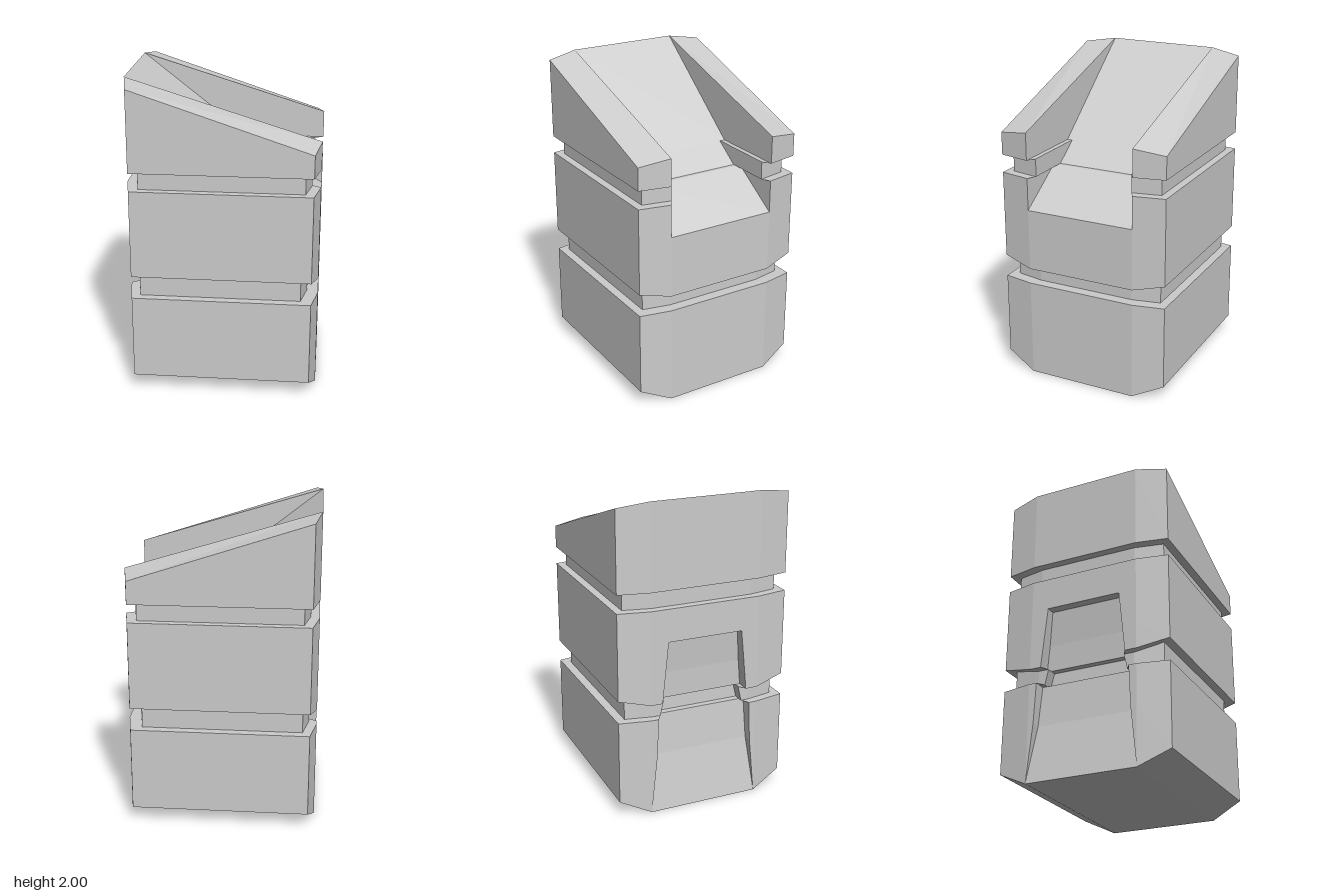
import * as THREE from 'three';

const material = new THREE.MeshStandardMaterial({ color: 0xcccccc, flatShading: true });

// One horizontal outline of the block.
//  y: height of the middle, yEnd: height at the front and back faces
//  s, o: scale and x shift (grooves), xc: where the top channel starts
//  w, d: half width and depth of the recess on the -x face
function ring({ y, yEnd = y, s = 1, o = 0, xc = 0.6, w = 0.245, d = 0 }) {
  const half = [[0.6, 0.36, y], [0.56, 0.56, yEnd], [-0.56, 0.56, yEnd], [-0.6, 0.36, y], [-0.6, w, y], [-0.6 + d, w, y]];
  const back = half.map(([x, z, h]) => [x, -z, h]).reverse();
  const loop = [...half, ...back, [xc, -0.36, y], [xc, 0.36, y]];
  return loop.map(([x, z, h]) => new THREE.Vector3(x * s + o, h, z * s));
}

function loft(rings, caps) {
  const pos = [];
  const tri = (a, b, c) => {
    const n = b.clone().sub(a).cross(c.clone().sub(a));
    if (n.length() > 1e-7) for (const p of [a, b, c]) pos.push(p.x, p.y, p.z);
  };
  const quad = (a, b, c, d) => { tri(a, b, c); tri(a, c, d); };
  for (let i = 0; i < rings.length - 1; i++) {
    const lo = rings[i], hi = rings[i + 1];
    lo.forEach((p, j) => {
      const k = (j + 1) % lo.length;
      quad(p, hi[j], hi[k], lo[k]);
    });
  }
  for (const [r, ...ids] of caps) quad(...ids.map((j) => r[j]));
  const g = new THREE.BufferGeometry();
  g.setAttribute('position', new THREE.Float32BufferAttribute(pos, 3));
  g.computeVertexNormals();
  return g;
}

export function createModel() {
  const lowCore = { s: 0.9, o: -0.01 };
  const highCore = { s: 0.91 };

  // lower block, its bottom edges bevelled at front and back
  const base = ring({ y: 0, yEnd: 0.095, w: 0.36 });
  const lowerKink = ring({ y: 0.37, w: 0.322, d: 0.06 });
  const lowerTop = { y: 0.635, w: 0.31, d: 0.08 };
  // middle block
  const middleBottom = { y: 0.735, yEnd: 0.78, w: 0.285, d: 0.085 };
  const middleKink = ring({ y: 0.905, w: 0.268, d: 0.08 });
  const middleTop = { y: 1.34, xc: 0.27 };
  // upper block with the channel between two sloping wings
  const upperBottom = { y: 1.455, xc: 0.09 };
  const top = ring({ y: 2, xc: -0.6 });
  for (const j of [0, 11]) top[j].y = 1.63;
  for (const j of [1, 10]) top[j].y = 1.6;
  for (const j of [2, 9]) top[j].y = 1.97;

  const parts = {
    lowerBlock: [[base, lowerKink, ring(lowerTop)],
      [[base, 0, 1, 2, 3], [base, 9, 10, 11, 8], [base, 0, 3, 8, 11]]],
    lowerGroove: [[ring(lowerTop), ring({ ...lowerTop, ...lowCore }),
      ring({ ...middleBottom, ...lowCore }), ring(middleBottom)], []],
    middleBlock: [[ring(middleBottom), middleKink, ring({ y: 1.13, d: 0.06 }),
      ring({ y: 1.13 }), ring(middleTop)], []],
    upperGroove: [[ring(middleTop), ring({ ...middleTop, ...highCore }),
      ring({ ...upperBottom, ...highCore }), ring(upperBottom)], []],
    upperBlock: [[ring(upperBottom), top], [[top, 0, 3, 2, 1], [top, 8, 11, 10, 9]]],
  };

  const group = new THREE.Group();
  group.name = 'groovedBlock';
  for (const [name, [rings, caps]] of Object.entries(parts)) {
    const mesh = new THREE.Mesh(loft(rings, caps), material);
    mesh.name = name;
    group.add(mesh);
  }
  return group;
}
